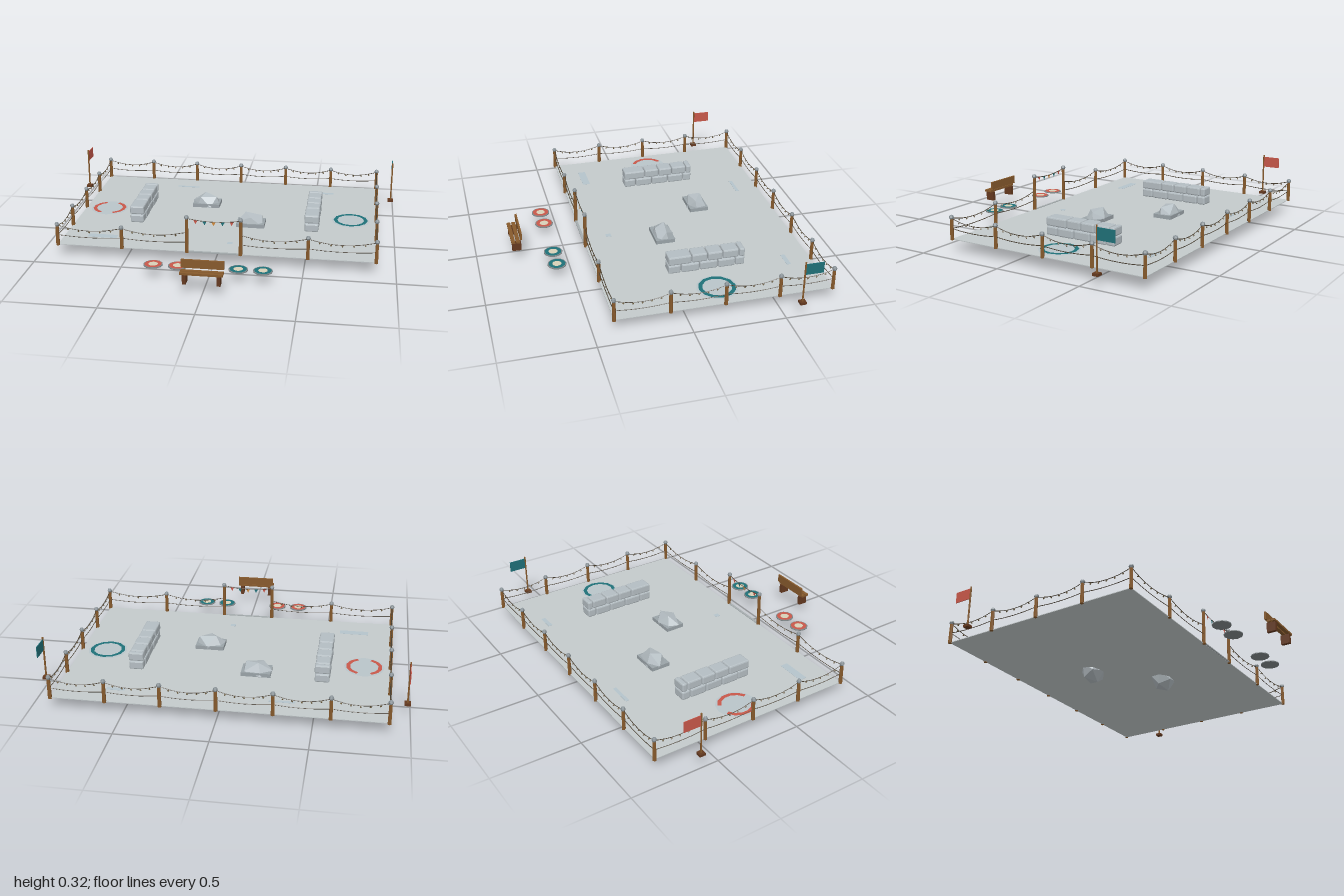
import * as THREE from 'three';
import { RoundedBoxGeometry } from 'three/addons/geometries/RoundedBoxGeometry.js';

const FLOOR = 0.078;
const X = 0.89, BACK = -0.8, FRONT = 0.39;
const RED = 0xc8584a, TEAL = 0x1f7078, STONE = 0xb4bdc2, WOOD = 0x875a2c, DARK_WOOD = 0x64391f, ROPE = 0x4a4032;

const mat = (color, flat = true, side = THREE.FrontSide) =>
  new THREE.MeshStandardMaterial({ color, flatShading: flat, side });

function add(parent, name, geometry, color, x = 0, y = 0, z = 0, side) {
  const mesh = new THREE.Mesh(geometry, mat(color, true, side));
  mesh.name = name;
  mesh.position.set(x, y, z);
  parent.add(mesh);
  return mesh;
}

const group = (parent, name) => {
  const g = new THREE.Group();
  g.name = name;
  parent.add(g);
  return g;
};

const box = (w, h, d) => new THREE.BoxGeometry(w, h, d);

// Point on a rope hanging between a and b
const hang = (a, b, sag, t) => a.clone().lerp(b, t).setY(a.y + (b.y - a.y) * t - sag * 4 * t * (1 - t));

function rope(parent, name, a, b, sag) {
  const points = [0, 0.25, 0.5, 0.75, 1].map(t => hang(a, b, sag, t));
  add(parent, name, new THREE.TubeGeometry(new THREE.CatmullRomCurve3(points), 8, 0.0022, 4), ROPE);
}

function post(parent, x, z, top) {
  const g = group(parent, 'fencePost');
  g.position.set(x, 0, z);
  const h = top - 0.012 - 0.072;
  add(g, 'postShaft', new THREE.CylinderGeometry(0.0095, 0.011, h, 6), WOOD, 0, 0.072 + h / 2, 0);
  add(g, 'postCap', new THREE.SphereGeometry(0.014, 6, 4), 0x8b9499, 0, top - 0.01, 0);
}

// Two sagging ropes with small hanging lamps
function fenceSpan(parent, p, q) {
  const at = (v, y) => new THREE.Vector3(v[0], y, v[1]);
  rope(parent, 'upperRope', at(p, 0.192), at(q, 0.192), 0.026);
  rope(parent, 'lowerRope', at(p, 0.135), at(q, 0.135), 0.009);
  for (let i = 1; i <= 5; i++) {
    const c = hang(at(p, 0.192), at(q, 0.192), 0.026, i / 6);
    add(parent, 'lamp', new THREE.OctahedronGeometry(0.006), 0x6a5a3c, c.x, c.y - 0.007, c.z);
  }
}

// Two staggered courses of chamfered blocks
function wall(parent, name, x) {
  const g = group(parent, name);
  const courses = [
    [0.013, -0.06, -0.165, -0.27, -0.37, -0.425],
    [0.013, -0.025, -0.12, -0.21, -0.297, -0.39, -0.425],
  ];
  courses[1].splice(1, 1);
  courses.forEach((cuts, row) => {
    for (let i = 0; i + 1 < cuts.length; i++) {
      const depth = cuts[i] - cuts[i + 1] - 0.004;
      const w = 0.08 + ((i + row) % 2) * 0.004;
      add(g, 'wallBlock', new RoundedBoxGeometry(w, 0.05, depth, 1, 0.008), STONE,
        x, FLOOR + 0.025 + row * 0.052, (cuts[i] + cuts[i + 1]) / 2);
    }
  });
}

// Faceted boulder sunk through a low slab
function boulder(parent, x, z, turn) {
  const g = group(parent, 'boulder');
  g.position.set(x, 0, z);
  add(g, 'boulderSlab', box(0.165, 0.022, 0.112), 0x9aa3a8, 0, FLOOR + 0.011, 0);
  const rock = new THREE.IcosahedronGeometry(1, 0);
  rock.rotateX(Math.atan(2 / (1 + Math.sqrt(5)))); // brings a corner to the top
  rock.rotateY(turn);
  const p = rock.attributes.position;
  for (let i = 0; i < p.count; i++) {
    const y = p.getY(i);
    p.setXYZ(i, p.getX(i) * 0.095 + (y > 0.9 ? 0.01 : 0), y * 0.08, p.getZ(i) * 0.064);
  }
  rock.computeVertexNormals();
  add(g, 'boulderRock', rock, STONE, 0, 0.08, 0);
}

// Flat ring or arc lying on the ground
function ring(parent, name, inner, outer, color, x, y, z, start = 0, length = Math.PI * 2, sides = 12) {
  const g = new THREE.RingGeometry(inner, outer, sides, 1, start, length).rotateX(-Math.PI / 2);
  return add(parent, name, g, color, x, y, z, THREE.DoubleSide);
}

function flag(parent, side, color) {
  const g = group(parent, side > 0 ? 'leftFlag' : 'rightFlag');
  g.position.set(side * 0.982, 0, -0.59);
  add(g, 'flagBase', box(0.034, 0.014, 0.034), DARK_WOOD, 0, 0.081, 0);
  add(g, 'flagPole', new THREE.CylinderGeometry(0.005, 0.005, 0.245, 6), WOOD, 0, 0.201, 0);
  add(g, 'flagCloth', box(0.004, 0.063, 0.1), color, 0, 0.281, -0.052);
}

export function createModel() {
  const model = new THREE.Group();
  model.name = 'arena';

  // Ground and faint patches
  const ground = group(model, 'ground');
  add(ground, 'floor', box(X * 2, 0.004, FRONT - BACK), 0xc3cacb, 0, FLOOR - 0.002, (FRONT + BACK) / 2);
  for (const [x, z, w, d] of [[-0.33, -0.665, 0.14, 0.02], [-0.67, 0.24, 0.17, 0.045], [0.57, -0.66, 0.1, 0.025], [0.07, 0.24, 0.03, 0.03]])
    add(ground, 'floorPatch', box(w, 0.001, d), 0xb5c3cb, x, FLOOR + 0.0006, z);
  add(ground, 'threshold', box(0.28, 0.006, 0.014), 0xa5acae, 0, FLOOR, FRONT);

  // Fence, running from one gate post round to the other
  const fence = group(model, 'fence');
  const line = [[0.15, FRONT], [0.52, FRONT]];
  for (let i = 0; i < 4; i++) line.push([X, FRONT + (BACK - FRONT) * i / 4]);
  for (let i = 0; i < 6; i++) line.push([X - 2 * X * i / 6, BACK]);
  for (let i = 0; i <= 4; i++) line.push([-X, BACK + (FRONT - BACK) * i / 4]);
  line.push([-0.52, FRONT], [-0.15, FRONT]);
  line.forEach((p, i) => {
    const gate = i === 0 || i === line.length - 1;
    post(fence, p[0], p[1], gate ? 0.29 : 0.207);
    if (i) fenceSpan(fence, line[i - 1], p);
  });

  // Bunting over the gate
  const bunting = group(model, 'bunting');
  const a = new THREE.Vector3(-0.15, 0.275, FRONT), b = new THREE.Vector3(0.15, 0.275, FRONT);
  rope(bunting, 'buntingRope', a, b, 0.014);
  const pennant = new THREE.ShapeGeometry(new THREE.Shape([
    new THREE.Vector2(-0.012, 0), new THREE.Vector2(0, -0.024), new THREE.Vector2(0.012, 0)]));
  [RED, TEAL, 0xd08a3c, TEAL, RED].forEach((color, i) => {
    const c = hang(a, b, 0.014, (i + 1) / 6);
    add(bunting, 'pennant', pennant, color, c.x, c.y, c.z, THREE.DoubleSide);
  });

  // Obstacles
  wall(model, 'rightWall', -0.522);
  wall(model, 'leftWall', 0.516);
  boulder(model, -0.155, -0.355, 0.3);
  boulder(model, 0.155, -0.06, 0.9);

  // Start circles: a whole one and a broken one
  const circles = group(model, 'startCircles');
  for (const x of [-0.745, 0.74])
    ring(circles, 'circleBed', 0.001, 0.114, 0xb9c4c9, x, FLOOR + 0.0012, -0.205);
  ring(circles, 'leftCircle', 0.08, 0.102, TEAL, 0.74, FLOOR + 0.004, -0.205);
  for (const mid of [0, Math.PI])
    ring(circles, 'rightCircleArc', 0.08, 0.102, RED, -0.745, FLOOR + 0.004, -0.205, mid - 1.15, 2.3, 5);

  // Flags beside the arena
  flag(model, 1, TEAL);
  flag(model, -1, RED);

  // Waiting discs in front of the gate
  for (const [x, color] of [[-0.3, RED], [-0.165, RED], [0.163, TEAL], [0.295, TEAL]]) {
    const g = group(model, 'waitingDisc');
    g.position.set(x, 0, 0.58);
    add(g, 'discRim', new THREE.CylinderGeometry(0.053, 0.053, 0.005, 12), 0x7f8789, 0, 0.0745, 0);
    ring(g, 'discBand', 0.026, 0.047, color, 0, 0.0782, 0);
    ring(g, 'discCentre', 0.0005, 0.027, 0xd8d0b8, 0, 0.0778, 0);
  }

  // Bench
  const bench = group(model, 'bench');
  bench.position.set(-0.001, 0, 0.775);
  for (const s of [-1, 1]) add(bench, 'benchLeg', box(0.02, 0.054, 0.052), DARK_WOOD, s * 0.09, 0.1, 0);
  for (const z of [-0.008, 0.019])
    add(bench, 'seatSlat', box(0.226, 0.012, 0.021), WOOD, 0, 0.133, z);
  add(bench, 'backRest', box(0.226, 0.046, 0.011), WOOD, 0, 0.169, -0.026);

  return model;
}
